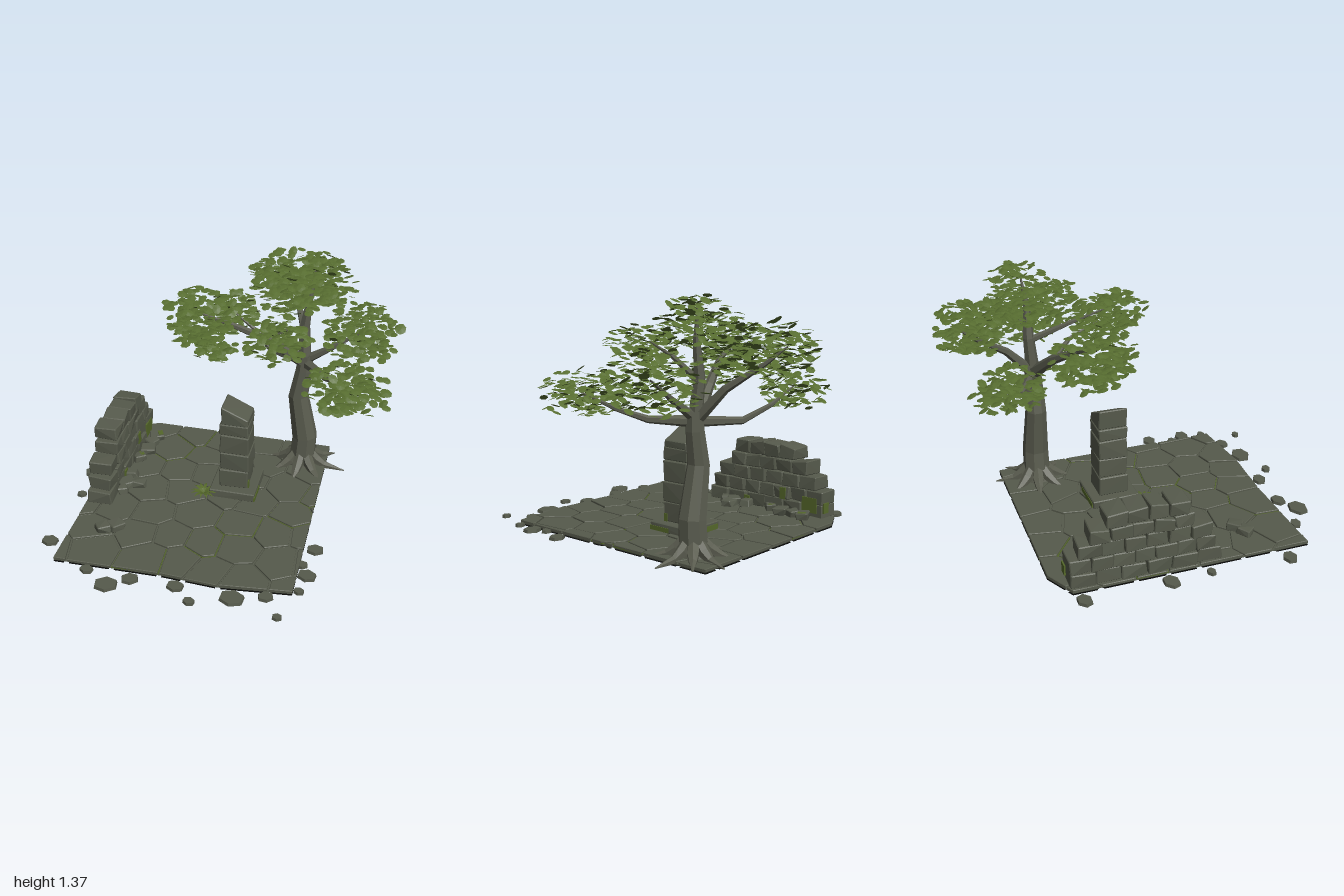
import * as THREE from 'three';
import { mergeGeometries } from 'three/addons/utils/BufferGeometryUtils.js';
import { ConvexGeometry } from 'three/addons/geometries/ConvexGeometry.js';

const material = (name, color, extra = {}) => {
  const m = new THREE.MeshStandardMaterial({ color, flatShading: true, ...extra });
  m.name = name;
  return m;
};
const V = (x, y, z) => new THREE.Vector3(x, y, z);

export function createModel() {
  const stone = material('stone', 0x565a4c);
  const bark = material('bark', 0x5a5c4f);
  const moss = material('moss', 0x55682a, { side: THREE.DoubleSide });
  const leaf = material('leaf', 0x576d30, { side: THREE.DoubleSide });
  const soil = material('soil', 0x080907);

  let seed = 7;
  const rnd = () => (seed = (seed * 16807) % 2147483647) / 2147483647;
  const jit = (a) => (rnd() * 2 - 1) * a;

  const model = new THREE.Group();
  model.name = 'ruinedCourtyard';
  const group = (name) => {
    const g = new THREE.Group();
    g.name = name;
    model.add(g);
    return g;
  };
  const add = (parent, name, geo, mat) => {
    const m = new THREE.Mesh(geo, mat);
    m.name = name;
    parent.add(m);
    return m;
  };

  // Flat polygon [x, z] extruded upwards from y0 to y1, with optional bevel
  const plate = (poly, y0, y1, bevel = 0) => {
    const shape = new THREE.Shape(poly.map(([x, z]) => new THREE.Vector2(x, -z)));
    const geo = new THREE.ExtrudeGeometry(shape, {
      depth: y1 - y0 - 2 * bevel, bevelEnabled: bevel > 0, bevelSegments: 1,
      bevelThickness: bevel, bevelSize: bevel, bevelOffset: -bevel,
    });
    return geo.rotateX(-Math.PI / 2).translate(0, y0 + bevel, 0);
  };

  // Rough chamfered block, with an optional rule for the top of its corners
  const block = (w, h, d, rough = 0.004, top = () => 0) => {
    const pts = [];
    const c = 0.005;
    for (const sx of [-1, 1]) for (const sy of [-1, 1]) for (const sz of [-1, 1]) {
      const p = V(sx * w / 2 + jit(rough), sy * h / 2 + jit(rough / 2), sz * d / 2 + jit(rough));
      if (sy > 0) p.y += top(sx, sz);
      pts.push(V(p.x, p.y - sy * c, p.z - sz * c), V(p.x - sx * c, p.y, p.z - sz * c),
        V(p.x - sx * c, p.y - sy * c, p.z));
    }
    return new ConvexGeometry(pts);
  };

  // Tapering faceted limb through [x, y, z, radius] points
  const limb = (path, sides) => {
    const pts = path.map((p) => V(p[0], p[1], p[2]));
    const n = pts.length;
    const dir = pts[n - 1].clone().sub(pts[0]).normalize();
    const ref = Math.abs(dir.y) > 0.8 ? V(0, 0, 1) : V(0, 1, 0);
    const pos = [], idx = [];
    pts.forEach((p, i) => {
      const t = pts[Math.min(i + 1, n - 1)].clone().sub(pts[Math.max(i - 1, 0)]).normalize();
      const u = ref.clone().cross(t).normalize();
      const v = t.clone().cross(u);
      for (let k = 0; k < sides; k++) {
        const a = ((k + 0.5) / sides) * Math.PI * 2;
        const q = p.clone().addScaledVector(u, Math.cos(a) * path[i][3]).addScaledVector(v, Math.sin(a) * path[i][3]);
        pos.push(q.x, q.y, q.z);
        if (i === n - 1) continue;
        const A = i * sides + k, B = i * sides + (k + 1) % sides;
        idx.push(A, B, A + sides, B, B + sides, A + sides);
      }
    });
    const geo = new THREE.BufferGeometry();
    geo.setAttribute('position', new THREE.Float32BufferAttribute(pos, 3));
    geo.setIndex(idx);
    geo.computeVertexNormals();
    return geo;
  };

  // Paving: irregular cells cut from the outline by the midlines between seeds
  const outline = [[-0.8, -0.52], [-0.63, -0.61], [0.5, -0.6], [0.51, 0.79], [0.12, 0.83], [-0.2, 0.81], [-0.8, 0.82]];
  const clip = (poly, px, pz, nx, nz) => {
    const out = [];
    poly.forEach((a, i) => {
      const b = poly[(i + 1) % poly.length];
      const da = (a[0] - px) * nx + (a[1] - pz) * nz, db = (b[0] - px) * nx + (b[1] - pz) * nz;
      if (da <= 0) out.push(a);
      if (da * db < 0) out.push([a[0] + (b[0] - a[0]) * da / (da - db), a[1] + (b[1] - a[1]) * da / (da - db)]);
    });
    return out;
  };
  const seeds = [];
  for (let r = 0; r < 7; r++) for (let c = 0; c < 7; c++) {
    seeds.push([-0.8 + (c + (r % 2) / 2) * 0.215 + jit(0.075), -0.52 + r * 0.208 + jit(0.065)]);
  }
  const cell = (s, gap) => seeds.reduce((poly, o) => {
    if (o === s || poly.length < 3) return poly;
    const dx = o[0] - s[0], dz = o[1] - s[1], l = Math.hypot(dx, dz);
    return clip(poly, (s[0] + o[0]) / 2 - dx / l * gap, (s[1] + o[1]) / 2 - dz / l * gap, dx / l, dz / l);
  }, outline);
  const paving = group('paving');
  add(paving, 'pavingBed', plate(outline, 0.01, 0.015), stone);
  seeds.forEach((s, i) => {
    const tile = cell(s, 0.006);
    if (tile.length < 3) return;
    add(paving, 'pavingSlab', plate(tile, 0.01, 0.026 + rnd() * 0.004, 0.003), stone);
    // Sloping stone flanks below, closed by a dark underside
    const under = cell(s, 0.014);
    if (under.length > 2) {
      add(paving, 'slabFlank', plate(cell(s, 0.003), 0.001, 0.023, 0.0105), stone);
      add(paving, 'slabUnderside', plate(under, 0, 0.002), soil);
    }
    if (i % 6 === 2) add(paving, 'mossyJoint', plate(cell(s, 0.001), 0.012, 0.019), moss);
  });

  // Loose stones around the paving: x, z, radius
  const loose = group('looseStones');
  [[-0.87, -0.48, 0.05], [-0.87, -0.01, 0.055], [-0.86, 0.22, 0.03], [-0.88, 0.67, 0.05], [-0.6, 0.85, 0.04],
    [-0.46, 0.94, 0.068], [-0.35, 0.87, 0.05], [-0.1, 0.87, 0.05], [0, 0.965, 0.034], [0.21, 0.89, 0.072],
    [0.38, 0.84, 0.045], [0.465, 0.975, 0.028], [0.56, 0.63, 0.055], [0.57, 0.41, 0.05], [0.52, 0.55, 0.035],
    [0.54, 0.76, 0.03]].forEach(([x, z, r]) => {
    const m = add(loose, 'looseStone', new THREE.CylinderGeometry(r * 0.94, r, 0.018, 6), stone);
    m.position.set(x, 0.009, z);
    m.scale.z = 0.8;
    m.rotation.y = jit(0.4);
  });

  // Broken wall, one course per row: bottom, top, front z, back z, blocks
  const wall = group('brokenWall');
  [[0.025, 0.105, 0.31, -0.53, 6], [0.107, 0.185, 0.28, -0.53, 7], [0.187, 0.267, 0.25, -0.48, 6],
    [0.269, 0.345, 0.15, -0.42, 5], [0.35, 0.43, 0.12, -0.33, 4]].forEach(([y0, y1, z0, z1, n], row) => {
    const len = (z0 - z1) / n;
    for (let i = 0; i < n; i++) {
      const slope = row > 2 ? jit(0.012) : 0;
      const b = add(wall, 'wallBlock', block(0.135, y1 - y0, len - 0.004, 0.007, (sx, sz) => sz * slope), stone);
      b.position.set(-0.72 + jit(0.006), (y0 + y1) / 2, z0 - (i + 0.5) * len);
      b.rotation.y = jit(0.06);
    }
  });
  for (const [x, y, z, w, h, d] of [[-0.648, 0.14, -0.25, 0.009, 0.07, 0.04], [-0.648, 0.1, -0.44, 0.009, 0.09, 0.1],
    [-0.648, 0.06, 0.02, 0.009, 0.05, 0.04], [-0.68, 0.09, -0.534, 0.05, 0.06, 0.009]]) {
    add(wall, 'wallMoss', new THREE.BoxGeometry(w, h, d), moss).position.set(x, y, z);
  }

  // Fallen blocks beside the wall: x, z, size, turn
  const rubble = group('rubble');
  [[-0.59, -0.43, 0.075, 0.5, 1], [-0.6, -0.36, 0.06, 0.9], [-0.6, -0.27, 0.075, 0.3], [-0.63, -0.18, 0.06, 0.7, 1],
    [-0.62, 0, 0.065, 0.2], [-0.55, 0.08, 0.07, 0.15], [-0.62, 0.1, 0.08, 0.8], [-0.62, 0.17, 0.05, 0.4],
    [-0.62, 0.53, 0.065, 0.5], [-0.55, 0.5, 0.075, 0.8]].forEach(([x, z, s, turn, mossy]) => {
    const b = add(rubble, 'fallenBlock', block(s * 1.15, 0.045, s, 0.008), stone);
    b.position.set(x, 0.045, z);
    b.rotation.y = turn;
    if (mossy) add(b, 'blockMoss', new THREE.BoxGeometry(s * 0.4, 0.008, s * 0.6), moss).position.set(s * 0.3, 0.021, 0);
  });

  // Pillar with plinth and a slanted broken top
  const pillar = group('pillar');
  add(pillar, 'plinth', block(0.27, 0.05, 0.28, 0.004), stone).position.set(0.02, 0.05, -0.05);
  add(pillar, 'plinthMoss', new THREE.BoxGeometry(0.008, 0.025, 0.14), moss).position.set(0.155, 0.042, 0.02);
  add(pillar, 'plinthMoss', new THREE.BoxGeometry(0.2, 0.03, 0.008), moss).position.set(0, 0.044, -0.191);
  add(pillar, 'pillarMoss', new THREE.BoxGeometry(0.008, 0.045, 0.02), moss).position.set(0.106, 0.1, 0.015);
  [[0.075, 0.19], [0.192, 0.306], [0.308, 0.426], [0.428, 0.5]].forEach(([a, b]) => {
    const m = add(pillar, 'pillarBlock', block(0.168, b - a, 0.168, 0.004), stone);
    m.position.set(0.022 + jit(0.004), (a + b) / 2, -0.05);
    m.rotation.y = jit(0.03);
  });
  add(pillar, 'brokenTop', block(0.155, 0.05, 0.165, 0.003, (sx) => (sx < 0 ? 0.062 : -0.006)), stone)
    .position.set(0.025, 0.524, -0.05);

  // Tree trunk, roots and branches
  const tree = group('tree');
  add(tree, 'trunk', limb([[0.355, 0.005, -0.4, 0.1], [0.355, 0.06, -0.4, 0.08], [0.365, 0.22, -0.4, 0.076],
    [0.317, 0.5, -0.4, 0.061], [0.345, 0.68, -0.4, 0.051], [0.35, 0.78, -0.4, 0.045]], 8), bark);
  [[0.1, 0.27], [0.9, 0.24], [1.7, 0.2], [2.5, 0.2], [3.3, 0.22], [4.1, 0.2], [4.9, 0.25], [5.6, 0.24]].forEach(([a, len]) => {
    const at = (d, y, r) => [0.355 + Math.cos(a) * d, y, -0.4 + Math.sin(a) * d, r];
    add(tree, 'root', limb([at(0.03, 0.12, 0.03), at(0.085, 0.06, 0.034), at(0.14, 0.028, 0.024), at(len, 0.012, 0.003)], 6), bark);
  });
  const fork = [0.345, 0.725, -0.4];
  [
    [[...fork, 0.03], [0.12, 0.715, -0.53, 0.02], [0, 0.79, -0.62, 0.013], [-0.15, 0.88, -0.66, 0.004]],
    [[...fork, 0.04], [0.15, 0.88, -0.33, 0.028], [-0.05, 1, -0.24, 0.016], [-0.25, 1.08, -0.2, 0.004]],
    [[...fork, 0.042], [0.335, 0.95, -0.42, 0.032], [0.36, 1.15, -0.42, 0.018], [0.38, 1.3, -0.44, 0.004]],
    [[...fork, 0.034], [0.3, 0.9, -0.56, 0.022], [0.22, 1.03, -0.74, 0.012], [0.17, 1.12, -0.84, 0.004]],
    [[...fork, 0.032], [0.5, 0.735, -0.22, 0.02], [0.61, 0.79, -0.1, 0.013], [0.66, 0.86, 0.1, 0.004]],
    [[0.34, 0.93, -0.42, 0.022], [0.28, 1.03, -0.2, 0.014], [0.25, 1.1, 0, 0.004]],
    [[0.345, 0.74, -0.4, 0.03], [0.5, 0.85, -0.38, 0.018], [0.68, 0.97, -0.4, 0.004]],
  ].forEach((path) => add(tree, 'branch', limb(path, 6), bark));

  // Leaf clumps: centre, half sizes, number of leaves
  const disc = new THREE.CircleGeometry(1, 7).rotateX(-Math.PI / 2);
  disc.attributes.position.setY(0, 0.12);
  [
    [-0.27, 1.03, -0.22, 0.19, 0.16, 0.25, 190], [-0.13, 0.95, -0.13, 0.13, 0.14, 0.15, 80],
    [-0.14, 0.88, -0.65, 0.17, 0.13, 0.2, 160],
    [0.19, 1.11, -0.79, 0.27, 0.14, 0.19, 200], [0.28, 1.19, -0.4, 0.26, 0.13, 0.28, 240],
    [0.42, 1.3, -0.47, 0.14, 0.07, 0.16, 60], [0.66, 0.95, -0.41, 0.23, 0.17, 0.28, 230],
    [0.65, 0.86, 0.09, 0.25, 0.14, 0.19, 190], [0.26, 1.09, 0.04, 0.18, 0.1, 0.23, 140],
    [0.43, 1.08, -0.68, 0.17, 0.1, 0.16, 80],
  ].forEach(([x, y, z, rx, ry, rz, count]) => {
    const leaves = [];
    for (let i = 0; i < count; i++) {
      const a = rnd() * Math.PI * 2, h = jit(1), r = Math.pow(rnd(), 0.4), w = Math.sqrt(1 - h * h) * r;
      const size = 0.025 + rnd() * 0.01;
      const turn = new THREE.Quaternion().setFromEuler(new THREE.Euler(jit(0.42), rnd() * 6.28, jit(0.42)));
      const p = V(x + Math.cos(a) * w * rx, y + h * r * ry, Math.max(z + Math.sin(a) * w * rz, -0.97));
      leaves.push(disc.clone().applyMatrix4(new THREE.Matrix4().compose(p, turn, V(size, size, size * 0.8))));
    }
    add(tree, 'leafClump', mergeGeometries(leaves), leaf);
  });

  // Small star-shaped plant with arching blades of uneven height
  const plant = group('plant');
  plant.position.set(-0.145, 0.055, 0.1);
  for (let i = 0; i < 12; i++) {
    const blade = new THREE.PlaneGeometry(0.02, 0.078, 2, 3).rotateX(-Math.PI / 2).translate(0, 0, -0.039);
    const p = blade.attributes.position;
    const arch = 0.012 + rnd() * 0.018;
    for (let k = 0; k < p.count; k++) {
      const t = -p.getZ(k) / 0.078;
      p.setXYZ(k, p.getX(k) * Math.sin(Math.PI * (0.12 + 0.87 * t)), Math.sin(t * 2.4) * arch, p.getZ(k));
    }
    add(plant, 'plantBlade', blade, moss).rotation.y = (i / 12) * Math.PI * 2;
  }
  return model;
}
